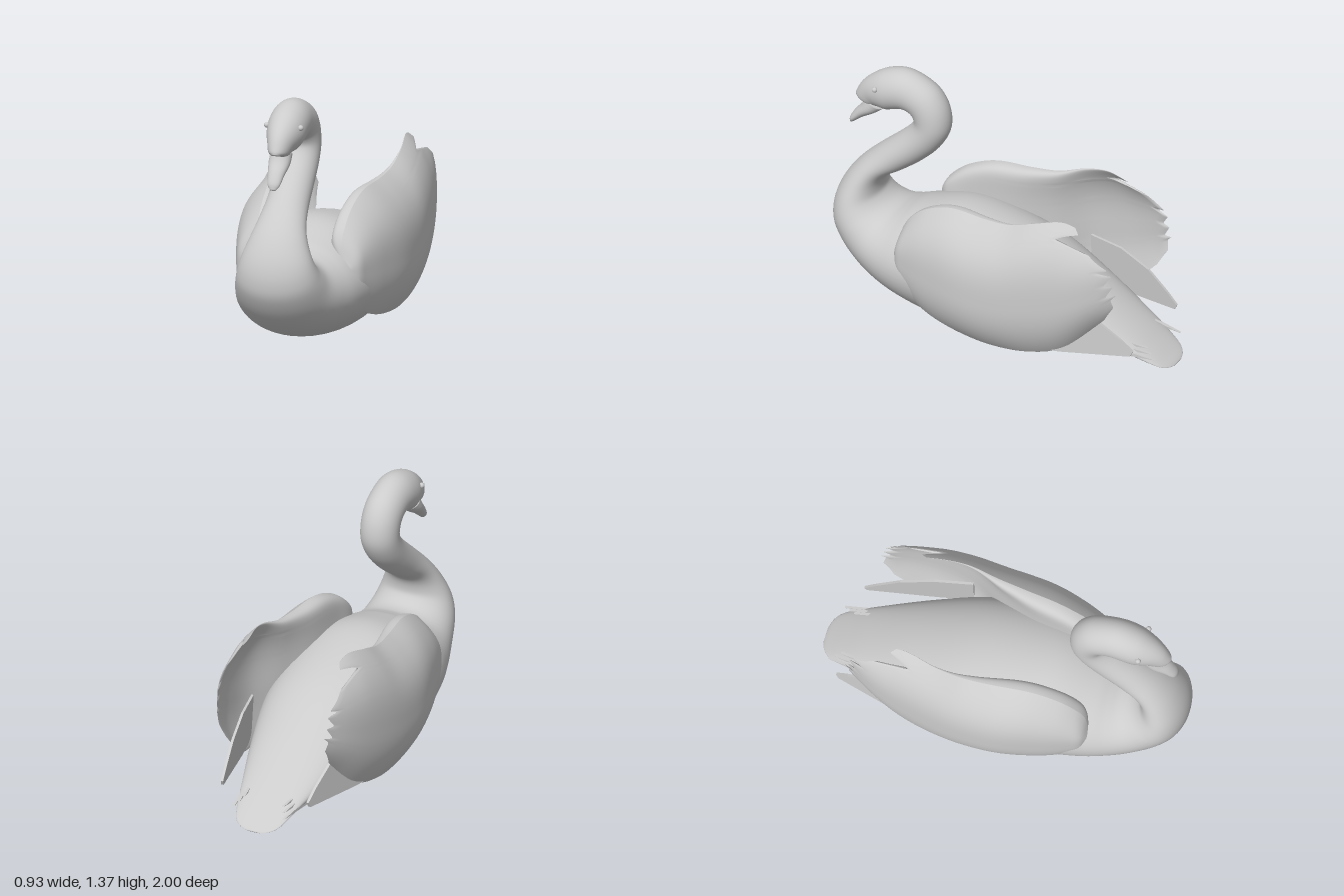
import * as THREE from 'three';

const material = new THREE.MeshStandardMaterial({ color: 0xcccccc, side: THREE.DoubleSide });

function part(name, geometry, parent) {
  const mesh = new THREE.Mesh(geometry, material);
  mesh.name = name;
  parent.add(mesh);
  return mesh;
}

// Skin a list of closed rings of equal size
function loft(rings) {
  const n = rings[0].length, index = [];
  for (let i = 0; i < rings.length - 1; i++) {
    for (let j = 0; j < n; j++) {
      const k = (j + 1) % n;
      const a = i * n + j, b = a + n, c = (i + 1) * n + k, d = i * n + k;
      index.push(a, b, c, a, c, d);
    }
  }
  const g = new THREE.BufferGeometry().setFromPoints(rings.flat());
  g.setIndex(index);
  g.computeVertexNormals();
  return g;
}

// Loft of ellipses, each given as [dorsal z, y, ventral z, y, half width]
function ellipseLoft(sections, steps, sides) {
  const curve = f => new THREE.CatmullRomCurve3(sections.map(f), false, 'catmullrom', 0.5);
  const dorsal = curve(s => new THREE.Vector3(0, s[1], s[0]));
  const ventral = curve(s => new THREE.Vector3(0, s[3], s[2]));
  const width = curve(s => new THREE.Vector3(s[4], 0, 0));
  const count = (sections.length - 1) * steps, rings = [];
  for (let i = 0; i <= count; i++) {
    const t = i / count, d = dorsal.getPoint(t), v = ventral.getPoint(t);
    const w = width.getPoint(t).x;
    const centre = d.clone().add(v).multiplyScalar(0.5), up = d.sub(centre);
    rings.push(Array.from({ length: sides }, (_, j) => {
      const a = (j / sides) * Math.PI * 2;
      const p = centre.clone().addScaledVector(up, Math.cos(a));
      p.x = w * Math.sin(a);
      return p;
    }));
  }
  // close both ends on their centres
  const cap = ring => {
    const c = ring.reduce((s, p) => s.add(p), new THREE.Vector3()).divideScalar(sides);
    return ring.map(() => c.clone());
  };
  return loft([cap(rings[0]), ...rings, cap(rings[count])]);
}

// Interpolate column c of a table whose first column rises; smooth or linear
function lookup(table, c, x, smooth = true) {
  const last = table.length - 1;
  if (x <= table[0][0]) return table[0][c];
  if (x >= table[last][0]) return table[last][c];
  let i = 0;
  while (x > table[i + 1][0]) i++;
  const slope = (a, b) => (table[b][c] - table[a][c]) / (table[b][0] - table[a][0]);
  const h = table[i + 1][0] - table[i][0], t = (x - table[i][0]) / h;
  const p = table[i][c], q = table[i + 1][c];
  if (!smooth) return p + (q - p) * t;
  const m = slope(Math.max(i - 1, 0), i + 1) * h, n = slope(i, Math.min(i + 2, last)) * h;
  const t2 = t * t, t3 = t2 * t;
  return p * (2 * t3 - 3 * t2 + 1) + m * (t3 - 2 * t2 + t) + q * (3 * t2 - 2 * t3) + n * (t3 - t2);
}

// Wing stations: z, bottom y, top y
const wingHeight = [
  [-0.8, 0.46, 0.78], [-0.68, 0.33, 0.83], [-0.55, 0.2, 0.87], [-0.45, 0.13, 0.89],
  [-0.3, 0.09, 0.85], [-0.15, 0.07, 0.795], [0, 0.07, 0.78], [0.2, 0.1, 0.775],
  [0.35, 0.15, 0.72], [0.45, 0.22, 0.64], [0.5, 0.29, 0.56], [0.53, 0.4, 0.44],
];
// Wing stations: z, widest x, top x, bottom x, thickness
const wingDepth = [
  [-0.8, 0.32, 0.29, 0.3, 0.01], [-0.65, 0.385, 0.27, 0.31, 0.015], [-0.5, 0.425, 0.27, 0.34, 0.025],
  [-0.3, 0.455, 0.3, 0.37, 0.07], [-0.1, 0.465, 0.29, 0.37, 0.18], [0.1, 0.455, 0.27, 0.36, 0.25],
  [0.3, 0.41, 0.25, 0.34, 0.24], [0.45, 0.36, 0.24, 0.31, 0.2], [0.5, 0.335, 0.24, 0.29, 0.13],
  [0.53, 0.29, 0.27, 0.28, 0],
];
// Feathered rear edge: height fraction, z
const wingRear = [
  [0, -0.72], [0.1, -0.78], [0.27, -0.77], [0.31, -0.8], [0.35, -0.745], [0.49, -0.785],
  [0.53, -0.735], [0.67, -0.775], [0.71, -0.7], [0.75, -0.755], [0.87, -0.64],
  [0.9, -0.44], [0.97, -0.56], [1, -0.53],
];

function wingGeometry() {
  const U = 64, V = 80, rings = [], belly = 0.42;
  for (let i = 0; i <= U; i++) {
    const u = Math.pow(i / U, 1.5), ring = [];
    for (let j = 0; j < 2 * V; j++) {
      const t = j <= V ? j / V : 2 - j / V;
      const v = (1 - Math.cos(Math.PI * t)) / 2;
      const z = 0.53 + (lookup(wingRear, 1, v, false) - 0.53) * u;
      const low = lookup(wingHeight, 1, z), high = lookup(wingHeight, 2, z);
      const [wide, top, bottom, thick] = [1, 2, 3, 4].map(c => lookup(wingDepth, c, z));
      let x = v > belly
        ? wide - (wide - top) * Math.pow((v - belly) / (1 - belly), 3)
        : wide - (wide - bottom) * Math.pow((belly - v) / belly, 2.5);
      const rim = i === U ? 0.5 : 1;
      if (j > V && i < U) x -= thick * Math.sin(Math.PI * t);
      if (i === U) x -= 0.5 * rim * thick * Math.sin(Math.PI * t);
      ring.push(new THREE.Vector3(x, low + (high - low) * v, z));
    }
    rings.push(ring);
  }
  return loft(rings);
}

// Thin feather plate from a [z, y] outline, leaning inward towards the rear
function feather(outline, x, lean) {
  const shape = new THREE.Shape(outline.map(([z, y]) => new THREE.Vector2(-z, y)));
  const g = new THREE.ExtrudeGeometry(shape, { depth: 0.014, bevelEnabled: false });
  g.rotateY(Math.PI / 2);
  const p = g.attributes.position;
  for (let i = 0; i < p.count; i++) {
    p.setX(i, p.getX(i) + x + lean * (p.getZ(i) + 0.4) - 0.25 * (p.getY(i) - 0.16) * lean);
  }
  g.computeVertexNormals();
  return g;
}

export function createModel() {
  const swan = new THREE.Group();
  swan.name = 'swan';

  // Tail, body, chest, neck and head in one sweep
  part('bodyNeckAndHead', ellipseLoft([
    [-1, 0.022, -1, 0.016, 0.04], [-0.985, 0.035, -0.985, 0.02, 0.085],
    [-0.95, 0.06, -0.95, 0.03, 0.125], [-0.88, 0.11, -0.88, 0.05, 0.155],
    [-0.75, 0.2, -0.75, 0.075, 0.195], [-0.5, 0.36, -0.5, 0.06, 0.275],
    [-0.2, 0.52, -0.2, 0.03, 0.355], [0.1, 0.61, 0.1, 0.005, 0.39],
    [0.3, 0.63, 0.3, 0.002, 0.385], [0.5, 0.58, 0.52, 0.04, 0.345],
    [0.58, 0.55, 0.72, 0.11, 0.3], [0.63, 0.535, 0.88, 0.22, 0.26],
    [0.68, 0.54, 0.975, 0.35, 0.235], [0.72, 0.565, 1, 0.45, 0.215],
    [0.74, 0.6, 0.985, 0.56, 0.19], [0.73, 0.66, 0.935, 0.67, 0.157],
  ].concat([
    [0.69, 0.71, 0.86, 0.77, 0.132], [0.6, 0.77, 0.76, 0.87, 0.115],
    [0.49, 0.86, 0.65, 0.97, 0.108], [0.4, 0.96, 0.58, 1.04, 0.106],
    [0.35, 1.07, 0.55, 1.09, 0.105], [0.36, 1.19, 0.56, 1.125, 0.105],
    [0.42, 1.29, 0.585, 1.14, 0.105], [0.52, 1.35, 0.62, 1.14, 0.105],
    [0.62, 1.37, 0.66, 1.125, 0.107], [0.72, 1.345, 0.7, 1.11, 0.103],
    [0.8, 1.295, 0.73, 1.11, 0.088], [0.86, 1.235, 0.75, 1.11, 0.07],
    [0.895, 1.17, 0.78, 1.105, 0.053], [0.9, 1.145, 0.81, 1.11, 0.03],
  ]), 6, 48), swan);

  // Beak
  part('beak', ellipseLoft([
    [0.83, 1.16, 0.73, 1.1, 0.058], [0.86, 1.1, 0.78, 1.06, 0.058],
    [0.9, 1.05, 0.85, 1.015, 0.045], [0.93, 1.0, 0.9, 0.975, 0.034],
    [0.937, 0.965, 0.922, 0.957, 0.015],
  ], 6, 24), swan);

  // Mirrored parts
  const wing = wingGeometry();
  const lower = feather([
    [-0.3, 0.13], [-0.48, 0.13], [-0.85, 0.16], [-0.865, 0.19], [-0.8, 0.25],
    [-0.68, 0.34], [-0.5, 0.4], [-0.3, 0.4],
  ], 0.35, 0.22);
  const eye = new THREE.SphereGeometry(0.015, 16, 12);
  for (const [side, sign] of [['left', 1], ['right', -1]]) {
    const half = new THREE.Group();
    half.name = side + 'Side';
    half.scale.x = sign;
    swan.add(half);
    part(side + 'Wing', wing, half);
    part(side + 'LowerWingFeathers', lower, half);
    for (let i = 0; i < 3; i++) {
      const tipZ = -0.94 + 0.03 * i, tipY = 0.1 + 0.02 * i;
      part(side + 'TailFeather', feather(
        [[-0.68, 0.1 + 0.015 * i], [tipZ, tipY], [-0.68, 0.14 + 0.015 * i]], 0.22 - 0.02 * i, 0.15), half);
    }
    part(side + 'Eye', eye, half).position.set(0.094, 1.26, 0.745);
  }
  return swan;
}
